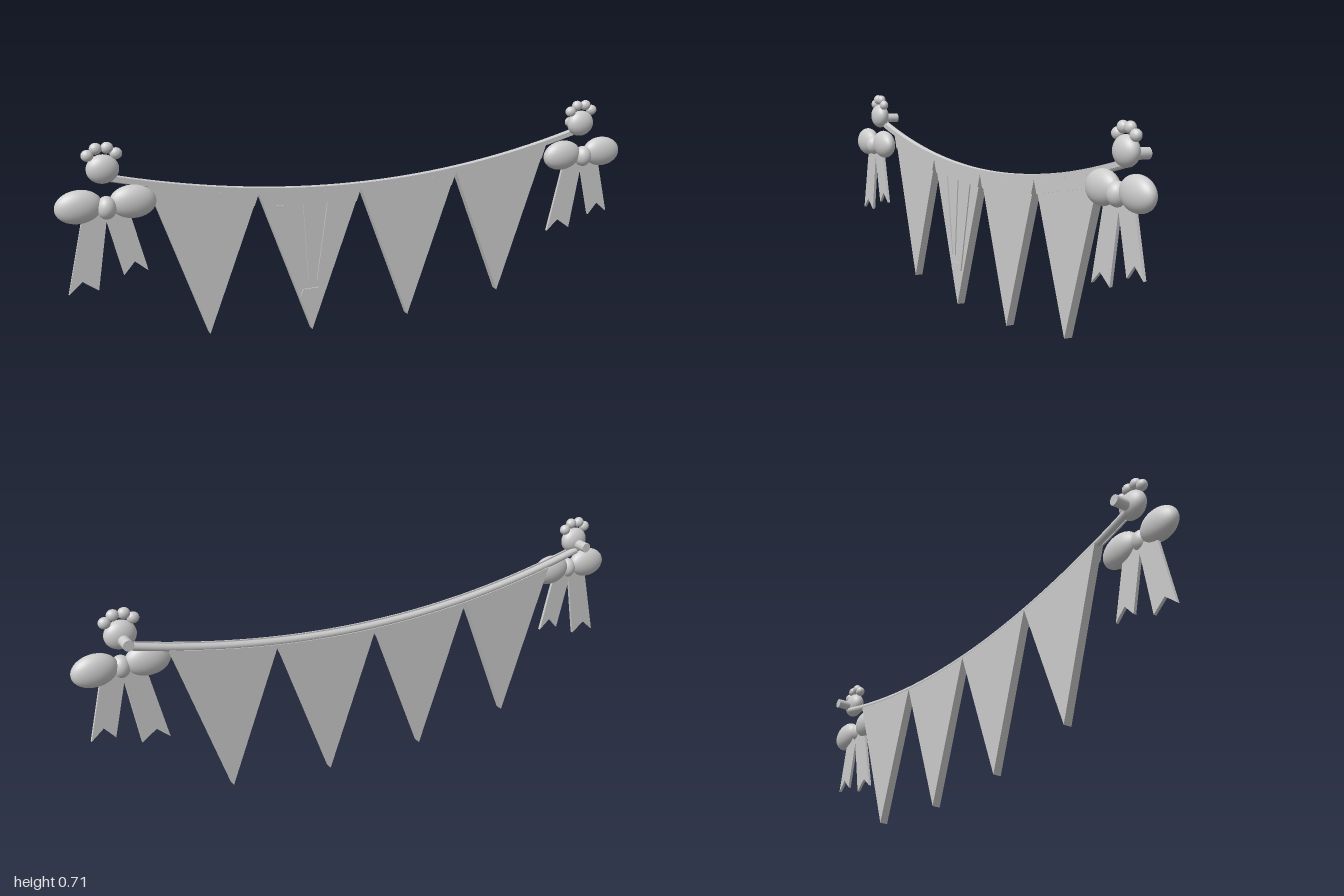
import * as THREE from 'three';

export function createModel() {
  const model = new THREE.Group();
  model.name = 'pennantGarland';
  const grey = new THREE.MeshStandardMaterial({ color: 0xcccccc });
  grey.name = 'plainGrey';

  const add = (parent, name, geometry, x = 0, y = 0, z = 0) => {
    const mesh = new THREE.Mesh(geometry, grey);
    mesh.name = name;
    mesh.position.set(x, y, z);
    parent.add(mesh);
    return mesh;
  };
  const ball = (parent, name, x, y, z, rx, ry, rz) => {
    const mesh = add(parent, name, new THREE.SphereGeometry(1, 32, 20), x, y, z);
    mesh.scale.set(rx, ry, rz);
    return mesh;
  };
  // Flat plate from an outline, spanning z0 to z0 + depth
  const plate = (parent, name, points, z0, depth) => {
    const shape = new THREE.Shape(points.map(([x, y]) => new THREE.Vector2(x, y)));
    return add(parent, name, new THREE.ExtrudeGeometry(shape, { depth, bevelEnabled: false }), 0, 0, z0);
  };
  // Sagging line shared by the cord and everything hanging from it
  const sag = (x, base) => base + 0.16 * x * x;
  const along = (x0, x1, base, n) => Array.from({ length: n + 1 }, (_, i) => {
    const x = x0 + (x1 - x0) * i / n;
    return [x, sag(x, base)];
  });

  // Cord and the narrow tape on its front
  const path = along(-0.84, 0.84, 0.49, 24).map(([x, y]) => new THREE.Vector3(x, y, -0.014));
  add(model, 'cord', new THREE.TubeGeometry(new THREE.CatmullRomCurve3(path), 64, 0.012, 12));
  plate(model, 'cordTape', [...along(-0.82, 0.82, 0.484, 32), ...along(0.82, -0.82, 0.501, 32)], -0.001, 0.005);

  // Four pennants with a hem along the top
  const width = 0.355;
  [0.045, 0.005, 0.005, 0.045].forEach((tipY, i) => {
    const x0 = (i - 2) * width, x1 = x0 + width;
    const tip = [(x0 + x1) / 2, tipY];
    const top = along(x1, x0, 0.484, 8);
    plate(model, 'pennant', [tip, ...top], -0.028, 0.028);
    const inward = ([x, y]) => [x + (tip[0] - x) * 0.09, y + (tipY - y) * 0.09];
    plate(model, 'pennantHem', [inward(top[8]), inward(top[0]), ...top], 0, 0.004);
  });

  // Thin tapering stripes on the second pennant
  [
    [[-0.218, 0.13], [-0.145, 0.13], [-0.153, 0.155], [-0.21, 0.155]],
    [[-0.296, 0.455], [-0.21, 0.18], [-0.25, 0.455]],
    [[-0.205, 0.455], [-0.19, 0.18], [-0.165, 0.455]],
    [[-0.12, 0.45], [-0.16, 0.18], [-0.145, 0.13], [-0.073, 0.45]],
  ].forEach((points) => plate(model, 'pennantStripe', points, 0, 0.004));

  // Paw-shaped hook with a bow at each end
  for (const x of [-0.845, 0.845]) {
    const end = new THREE.Group();
    end.name = 'pawHookWithBow';
    end.position.x = x;
    model.add(end);

    ball(end, 'pawPad', 0, 0.634, 0.008, 0.05, 0.045, 0.031);
    [[-0.043, 0.679], [-0.017, 0.698], [0.017, 0.698], [0.043, 0.679]].forEach(([tx, ty]) =>
      ball(end, 'pawToe', tx, ty, 0.008, 0.019, 0.018, 0.016));
    const peg = add(end, 'wallPeg', new THREE.CylinderGeometry(0.017, 0.017, 0.06, 24), 0, 0.625, -0.035);
    peg.rotation.x = Math.PI / 2;

    for (const side of [-1, 1]) {
      const loop = ball(end, 'bowLoop', side * 0.082, 0.529, 0.026, 0.072, 0.052, 0.035);
      loop.rotation.z = -side * 0.06;
    }
    ball(end, 'bowKnot', 0, 0.52, 0.034, 0.03, 0.036, 0.031);

    // Ribbon tails with swallow-tail ends
    plate(end, 'leftRibbonTail',
      [[-0.07, 0.51], [-0.13, 0.254], [-0.087, 0.292], [-0.039, 0.257], [0.004, 0.51]], 0.018, 0.01);
    plate(end, 'rightRibbonTail',
      [[-0.01, 0.51], [0.041, 0.297], [0.076, 0.337], [0.117, 0.302], [0.066, 0.51]], 0.019, 0.01);
  }
  return model;
}
